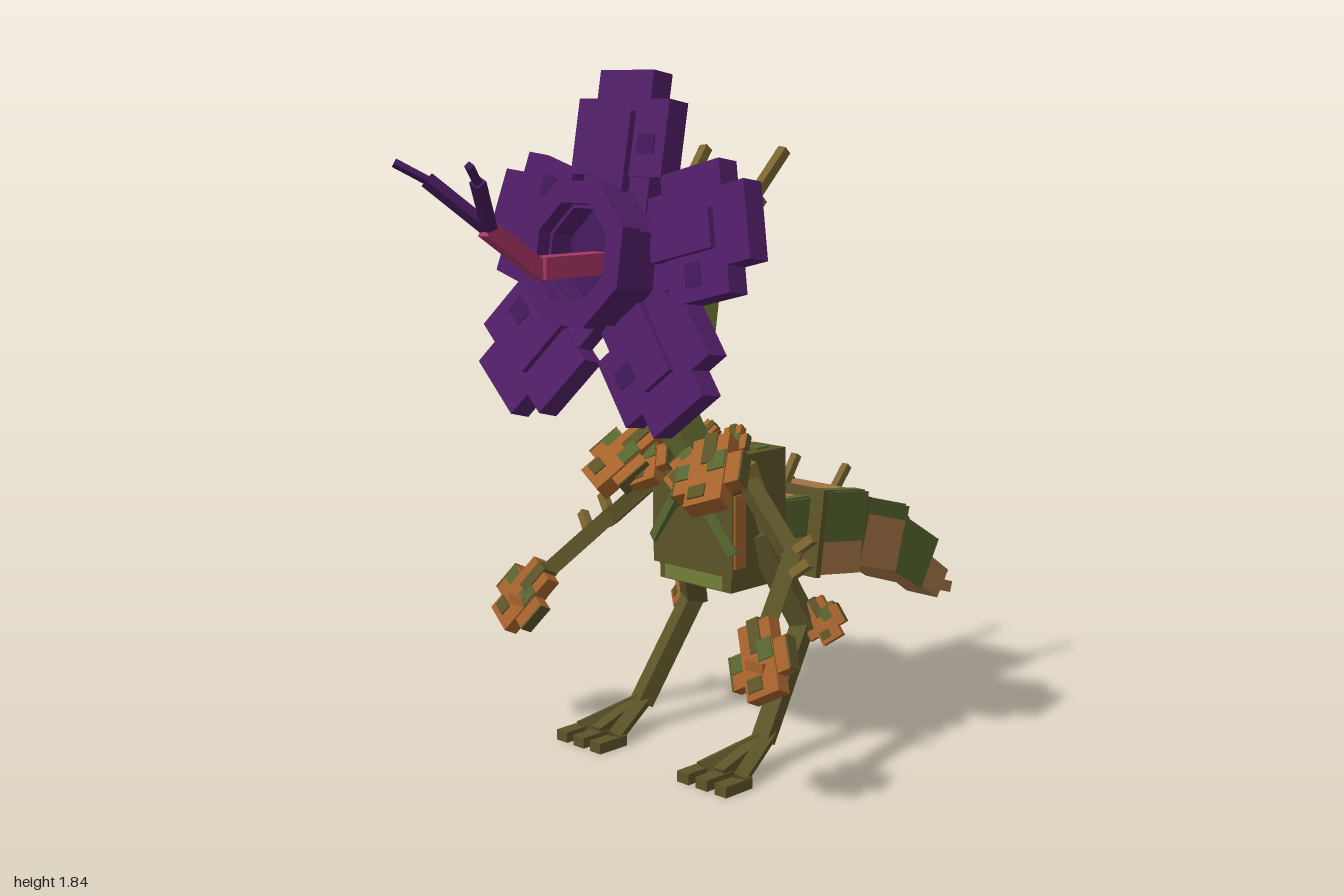
import * as THREE from 'three';

const mat = (name, color) => {
  const m = new THREE.MeshStandardMaterial({ color });
  m.name = name;
  return m;
};
const M = {
  purple: mat('petal purple', 0x521f69),
  plum: mat('dark plum', 0x42195a),
  pink: mat('tongue pink', 0xa83664),
  green: mat('stem green', 0x737e38),
  moss: mat('moss green', 0x56662f),
  olive: mat('bark olive', 0x5c5428),
  ochre: mat('horn ochre', 0x7a6630),
  tan: mat('tail tan', 0xa87648),
  orange: mat('leaf orange', 0xa5622c),
};
const V = (p) => new THREE.Vector3(...p);

// Axis-aligned box given by size and centre
function box(parent, name, m, size, pos) {
  const b = new THREE.Mesh(new THREE.BoxGeometry(...size), m);
  b.name = name;
  b.position.set(...pos);
  parent.add(b);
  return b;
}

// Square bar running from point a to point b
function bar(parent, name, m, a, b, w, d = w) {
  const p = V(a), q = V(b), dir = q.clone().sub(p);
  const mesh = box(parent, name, m, [w, dir.length(), d], p.add(q).multiplyScalar(0.5).toArray());
  mesh.quaternion.setFromUnitVectors(new THREE.Vector3(0, 1, 0), dir.normalize());
  return mesh;
}

function group(parent, name, pos = [0, 0, 0], rot = [0, 0, 0]) {
  const g = new THREE.Group();
  g.name = name;
  g.position.set(...pos);
  g.rotation.set(...rot);
  parent.add(g);
  return g;
}

// Cross-shaped leaf tuft with mottled faces and bark-coloured edges
function leaf(parent, name, pos, rot, s) {
  const g = group(parent, name, pos, rot);
  g.scale.setScalar(s);
  box(g, 'leafBlade', M.orange, [0.11, 0.22, 0.05], [0, 0, 0]);
  box(g, 'leafLobes', M.orange, [0.2, 0.1, 0.04], [0, -0.01, 0]);
  box(g, 'leafStem', M.olive, [0.04, 0.1, 0.058], [0, 0.07, 0]);
  for (const x of [-1, 1]) box(g, 'leafEdge', M.olive, [0.006, 0.1, 0.042], [x * 0.1, -0.01, 0]);
  for (const z of [-1, 1]) {
    box(g, 'leafPatch', M.moss, [0.05, 0.06, 0.006], [0.028, 0.02, z * 0.026]);
    box(g, 'leafPatch', M.moss, [0.04, 0.05, 0.006], [-0.075, 0.01, z * 0.021]);
    box(g, 'leafPatch', M.olive, [0.05, 0.04, 0.006], [-0.02, -0.07, z * 0.026]);
  }
}

function octagon(r, target = new THREE.Shape()) {
  const pts = Array.from({ length: 8 }, (_, i) => {
    const a = (i + 0.5) * Math.PI / 4;
    return new THREE.Vector2(r * Math.cos(a), r * Math.sin(a));
  });
  return target.setFromPoints(pts);
}

function ring(parent, name, m, outer, inner, depth, z) {
  const shape = octagon(outer);
  shape.holes.push(octagon(inner, new THREE.Path()));
  const mesh = new THREE.Mesh(new THREE.ExtrudeGeometry(shape, { depth, bevelEnabled: false }), m);
  mesh.name = name;
  mesh.position.z = z;
  parent.add(mesh);
}

function buildHead(root) {
  const head = group(root, 'head', [0, 1.37, 0.38], [-0.16, 0, 0]);
  box(head, 'skullFront', M.green, [0.28, 0.36, 0.13], [0, 0, -0.065]);
  box(head, 'skullBack', M.green, [0.26, 0.33, 0.1], [0, -0.005, -0.175]);
  for (const s of [-1, 1]) {
    box(head, 'skullStripe', M.moss, [0.006, 0.36, 0.045], [s * 0.141, 0, -0.07]);
    box(head, 'skullStripe', M.moss, [0.006, 0.2, 0.03], [s * 0.131, 0.06, -0.2]);
    box(head, 'backStripe', M.moss, [0.05, 0.33, 0.006], [s * 0.06, -0.005, -0.225]);
  }
  box(head, 'skullTopPatch', M.moss, [0.1, 0.006, 0.06], [0.04, 0.181, -0.07]);

  // Blossom cup
  ring(head, 'blossomCup', M.purple, 0.182, 0.125, 0.15, 0.0);
  ring(head, 'blossomRim', M.purple, 0.195, 0.135, 0.06, 0.13);
  const throat = new THREE.Mesh(new THREE.ShapeGeometry(octagon(0.14)), M.plum);
  throat.name = 'throat';
  throat.position.z = 0.085;
  head.add(throat);
  box(head, 'throatSpot', M.moss, [0.06, 0.03, 0.006], [0.05, 0.04, 0.088]);

  // Five petals: turn around the cup, forward lean, depth
  const petals = [[0, -0.02, 0.04], [1.31, -0.02, 0.035], [-1.31, -0.02, 0.035], [2.46, 0.13, 0.045], [-2.46, -0.03, 0.035]];
  for (const [turn, lean, z] of petals) {
    const holder = group(head, 'petal', [0, 0, z], [0, 0, turn]);
    const p = group(holder, 'petalBlades', [0, 0, 0], [lean, 0, 0]);
    box(p, 'petalBase', M.purple, [0.24, 0.16, 0.05], [0, 0.15, 0]);
    box(p, 'petalMiddle', M.purple, [0.33, 0.195, 0.065], [0, 0.305, 0]);
    box(p, 'petalTip', M.purple, [0.195, 0.1, 0.065], [0, 0.425, 0]);
    box(p, 'petalRidge', M.purple, [0.1, 0.2, 0.03], [0, 0.27, 0.035]);
    box(p, 'petalSpot', M.plum, [0.06, 0.05, 0.004], [0.1, 0.29, 0.033]);
  }

  // Forked tongue
  box(root, 'tongueBase', M.pink, [0.058, 0.055, 0.22], [0, 1.37, 0.56]);
  bar(root, 'tongueMiddle', M.pink, [0, 1.36, 0.66], [0, 1.475, 0.83], 0.034, 0.045);
  for (const s of [-1, 1]) {
    bar(root, 'tongueFork', M.plum, [0, 1.47, 0.82], [s * 0.095, 1.59, 0.93], 0.028);
    bar(root, 'tongueTip', M.plum, [s * 0.09, 1.585, 0.925], [s * 0.14, 1.63, 0.99], 0.016);
    bar(root, 'hornBase', M.ochre, [s * 0.11, 1.39, 0.16], [s * 0.13, 1.53, 0.03], 0.05);
    bar(root, 'hornTip', M.ochre, [s * 0.128, 1.52, 0.04], [s * 0.145, 1.645, -0.065], 0.026);
  }
  bar(root, 'neckUpper', M.green, [0, 1.21, 0.2], [0, 1.01, 0.245], 0.085);
  bar(root, 'neckLower', M.green, [0, 1.03, 0.25], [0, 0.76, 0.09], 0.085);
}

function buildTorso(root) {
  box(root, 'torso', M.olive, [0.3, 0.33, 0.21], [0, 0.68, 0.035]);
  box(root, 'belly', M.olive, [0.27, 0.1, 0.2], [0, 0.52, 0.03]);
  box(root, 'bellyBand', M.green, [0.22, 0.05, 0.008], [0, 0.5, 0.133]);
  for (const s of [-1, 1]) {
    box(root, 'flank', M.orange, [0.008, 0.2, 0.04], [s * 0.153, 0.64, 0.115]);
    bar(root, 'chestVine', M.moss, [s * 0.01, 0.77, 0.15], [s * 0.15, 0.58, 0.13], 0.03);
    leaf(root, 'backLeaf', [s * 0.06, 0.855, 0.045], [-0.75, 0, s * 0.4], 0.5);
    box(root, 'backPatch', M.orange, [0.05, 0.006, 0.04], [s * 0.04, 0.847, -0.03]);
    box(root, 'backPatch', M.moss, [0.045, 0.006, 0.05], [s * 0.1, 0.847, -0.01]);
  }
  bar(root, 'backThorn', M.ochre, [0, 0.83, -0.03], [0, 0.755, -0.19], 0.025);
}

function buildTail(root) {
  // y, z, tilt, width, height, length, green share of the side (from the top)
  const segments = [
    [0.59, -0.14, 0.05, 0.22, 0.18, 0.18, 0.6],
    [0.567, -0.305, 0.14, 0.31, 0.235, 0.19, 0.6],
    [0.522, -0.51, 0.27, 0.27, 0.195, 0.195, 0.22],
    [0.43, -0.70, 0.54, 0.205, 0.16, 0.18, 1],
    [0.33, -0.845, 0.6, 0.12, 0.095, 0.15, 0],
    [0.268, -0.953, 0.3, 0.05, 0.035, 0.095, 0],
  ];
  segments.forEach(([y, z, tilt, w, h, l, share], i) => {
    const g = group(root, 'tailSegment', [0, y, z], [-tilt, 0, 0]);
    box(g, 'tailCore', M.tan, [w, h, l], [0, 0, 0]);
    if (share) for (const s of [-1, 1]) {
      box(g, 'tailSidePatch', M.moss, [0.008, h * share, l], [s * (w / 2 + 0.002), h * (1 - share) / 2, 0]);
      if (i < 3) box(g, 'tailTopPatch', M.moss, [w * 0.13, 0.006, l * 0.9], [s * w * 0.43, h / 2 + 0.002, 0]);
    }
    if (i === 1 || i === 2) {
      box(g, 'tailLip', M.olive, [w + 0.015, h + 0.012, 0.02], [0, 0, l / 2]);
      bar(g, 'tailThorn', M.ochre, [0, h / 2 - 0.01, l / 2], [0, h / 2 + 0.085, l / 2 - 0.045], 0.022);
    }
    if (i === 3) box(g, 'tailLip', M.moss, [w + 0.01, h + 0.01, 0.02], [0, 0, l / 2]);
  });
}

function buildLimbs(root, s) {
  const g = group(root, (s > 0 ? 'left' : 'right') + 'Limbs');
  const limb = (name, m, a, b, w, d) =>
    bar(g, name, m, [a[0] * s, a[1], a[2]], [b[0] * s, b[1], b[2]], w, d);

  // Arm
  limb('upperArm', M.olive, [0.13, 0.79, 0.08], [0.35, 0.6, 0.12], 0.045);
  limb('forearm', M.olive, [0.34, 0.62, 0.11], [0.43, 0.44, 0.33], 0.045);
  limb('armThorn', M.ochre, [0.33, 0.6, 0.13], [0.4, 0.66, 0.1], 0.024);
  limb('armThorn', M.ochre, [0.36, 0.55, 0.18], [0.43, 0.61, 0.15], 0.024);
  leaf(g, 'hand', [s * 0.455, 0.4, 0.35], [-0.45, 0, s * 0.55], 0.9);
  box(g, 'palm', M.orange, [0.06, 0.06, 0.07], [s * 0.455, 0.375, 0.35]);
  leaf(g, 'shoulderLeaf', [s * 0.165, 0.815, 0.235], [-0.78, 0, s * 0.45], 1.0);
  leaf(g, 'shoulderLeaf', [s * 0.09, 0.815, 0.22], [-0.7, 0, -s * 0.5], 0.72);

  // Leg
  limb('hip', M.ochre, [0.15, 0.82, 0.09], [0.165, 0.52, -0.03], 0.045);
  limb('thigh', M.olive, [0.14, 0.62, 0.03], [0.215, 0.35, -0.085], 0.06);
  limb('shin', M.olive, [0.21, 0.38, -0.09], [0.235, 0.08, 0.11], 0.05);
  leaf(g, 'kneeLeaf', [s * 0.265, 0.375, -0.1], [-0.35, s * 0.4, s * 0.75], 0.56);
  limb('kneeStem', M.ochre, [0.2, 0.38, -0.09], [0.28, 0.41, -0.13], 0.03);
  for (const t of [-1, 0, 1]) {
    const x = 0.238 + t * 0.068;
    limb('toe', M.olive, [0.238, 0.09, 0.09], [x, 0.03, 0.28], 0.036);
    box(g, 'toeTip', M.olive, [0.042, 0.03, 0.1], [s * x, 0.022, 0.3]);
  }
}

export function createModel() {
  const root = new THREE.Group();
  root.name = 'flowerHeadedCreature';
  buildHead(root);
  buildTorso(root);
  buildTail(root);
  for (const s of [-1, 1]) buildLimbs(root, s);
  return root;
}
